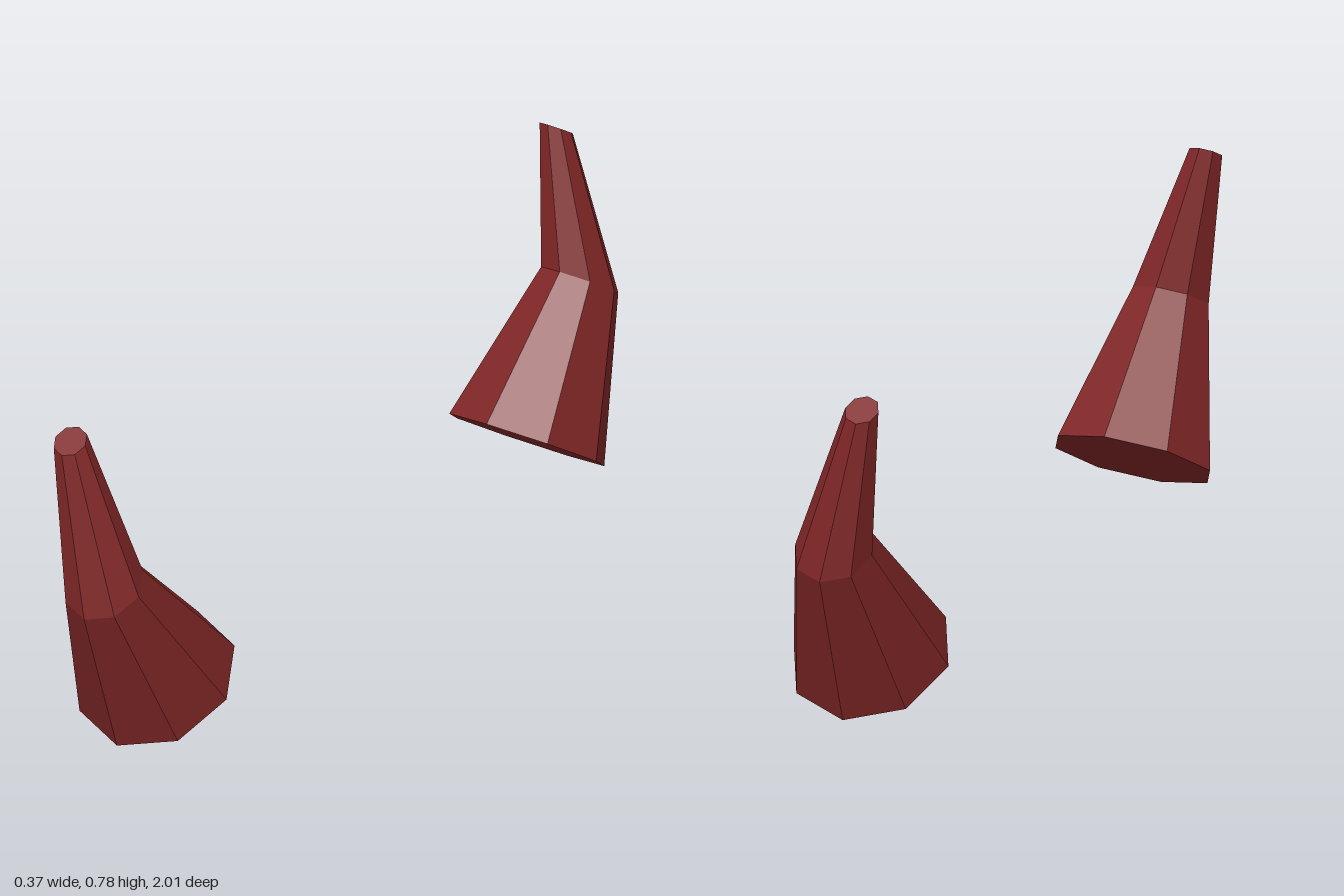
import * as THREE from 'three';

// Cross-sections from base to tip: centre of each octagon and its radius
const RINGS = [
  { c: [0, 0.105, 0.719], r: 0.187 },
  { c: [0, 0.417, 0.925], r: 0.093 },
  { c: [-0.077, 0.762, 0.945], r: 0.04 },
];
const TILT = 0.582; // all sections lean forward by the same angle

// Bent, tapering eight-sided horn; side is +1 for front, -1 for back
function hornGeometry(side) {
  const cylinder = new THREE.CylinderGeometry(1, 1, 2, 8, 2);
  const p = cylinder.attributes.position;
  for (let i = 0; i < p.count; i++) {
    const { c, r } = RINGS[Math.round(p.getY(i)) + 1];
    const x = p.getX(i), z = p.getZ(i);
    p.setXYZ(
      i,
      c[0] + side * r * x,
      c[1] - r * z * Math.sin(TILT),
      side * (c[2] + r * z * Math.cos(TILT)),
    );
  }
  const flat = cylinder.toNonIndexed();
  flat.computeVertexNormals();
  return flat;
}

export function createModel() {
  const group = new THREE.Group();
  group.name = 'hornPair';
  const darkRed = new THREE.MeshStandardMaterial({ color: 0x7f2626 });
  darkRed.name = 'darkRed';
  darkRed.flatShading = true;

  // Matching horns mirrored across the middle
  for (const [name, side] of [['frontHorn', 1], ['backHorn', -1]]) {
    const horn = new THREE.Mesh(hornGeometry(side), darkRed);
    horn.name = name;
    group.add(horn);
  }
  return group;
}
